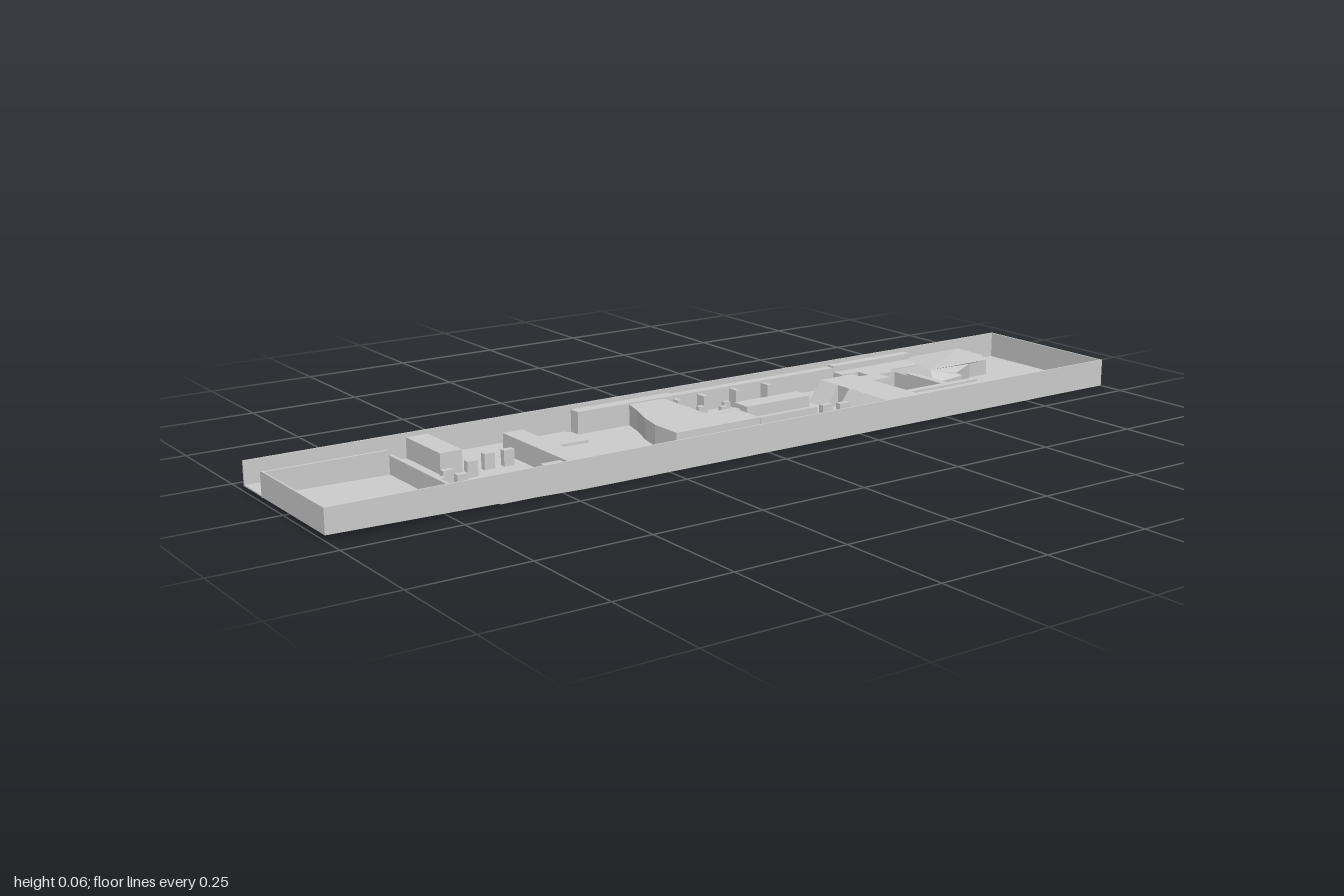
import * as THREE from 'three';

export function createModel() {
  const model = new THREE.Group();
  const mat = new THREE.MeshStandardMaterial({ color: 0xcccccc, flatShading: true, side: THREE.DoubleSide });
  const add = (name, geo) => {
    const mesh = new THREE.Mesh(geo, mat);
    mesh.name = name;
    model.add(mesh);
    return mesh;
  };
  // box given by its extents
  const box = (name, x0, x1, z0, z1, y0, y1) => {
    const g = new THREE.BoxGeometry(x1 - x0, y1 - y0, z1 - z0);
    return add(name, g.translate((x0 + x1) / 2, (y0 + y1) / 2, (z0 + z1) / 2));
  };
  // upright prism over an outline of [x, z] points
  const prism = (name, pts, y0, y1) => {
    const shape = new THREE.Shape(pts.map(([x, z]) => new THREE.Vector2(x, -z)));
    const g = new THREE.ExtrudeGeometry(shape, { depth: y1 - y0, bevelEnabled: false });
    return add(name, g.rotateX(-Math.PI / 2).translate(0, y0, 0));
  };
  // prism across x over a side profile of [z, y] points
  const profile = (name, pts, x0, x1) => {
    const shape = new THREE.Shape(pts.map(([z, y]) => new THREE.Vector2(-z, y)));
    const g = new THREE.ExtrudeGeometry(shape, { depth: x1 - x0, bevelEnabled: false });
    return add(name, g.rotateY(Math.PI / 2).translate(x0, 0, 0));
  };
  const W = 0.188, H = 0.063, T = 0.004, TOP = 0.05;

  // floor in three levels, the front one gently rising
  prism('rearFloor', [[-W, -1], [W, -1], [W, 0.45], [-0.118, 0.45], [-0.118, 0.27], [-W, 0.27]], 0, 0.003);
  prism('middleFloor', [[-W, 0.27], [-0.118, 0.27], [-0.118, 0.45], [W, 0.45], [W, 0.64], [-W, 0.64]], 0.003, 0.006);
  profile('frontFloor', [[0.63, 0.005], [1, 0.011], [1, 0.014], [0.63, 0.009]], -W, W);

  // outer walls
  const side = [[-1, 0], [0.45, 0], [0.64, 0.005], [1, 0.011], [1, H], [-1, H]];
  profile('leftWall', side, W - T, W);
  profile('rightWall', side, -W, -W + T);
  box('backWall', -W, W, -1, -1 + T, 0, H);
  box('frontWall', -0.097, W, 1 - T, 1, 0.011, H);

  // front chamber and entrance
  box('chamberSideWall', -0.1, -0.094, 0.73, 1, 0.01, H - 0.002);
  box('chamberBackWall', -0.1, W - T, 0.724, 0.732, 0.006, TOP);
  box('entranceBlock', -0.122, -0.097, 0.73, 0.8, 0.006, TOP);

  // front hall
  box('rightBlock', -W, -0.036, 0.6, 0.65, 0.003, 0.054);
  box('crossWall', -0.11, W - T, 0.418, 0.465, 0, TOP);
  box('crossWallSpur', 0.117, W - T, 0.46, 0.51, 0.003, 0.045);
  box('hallLedge', -0.12, -0.088, 0.27, 0.42, 0, 0.009);
  for (const [x, z] of [[-0.03, 0.5], [-0.03, 0.545], [0.03, 0.67], [0.07, 0.66], [0.07, 0.71], [0.0, 0.6]])
    box('hallPost', x - 0.007, x + 0.007, z - 0.012, z + 0.012, 0.003, 0.04);

  // middle platform with curved front edge and a ledge along the right wall
  prism('middlePlatform', [[-0.165, 0.03], [0.02, 0.03], [0.02, -0.045], [0.1, -0.045], [0.1, 0.172],
    [0.02, 0.172], [-0.035, 0.16], [-0.1, 0.137], [-0.165, 0.12]], 0, TOP);
  box('rightLedge', -W, -0.155, 0, 0.255, 0, TOP + 0.003);
  box('rightLedgeRear', -W, -0.162, -0.46, 0, 0, TOP);

  // pits with their divider, bank and posts
  box('pitDivider', -0.035, 0.012, -0.25, -0.075, 0, TOP);
  box('pitDividerFoot', -0.03, -0.012, -0.08, 0.03, 0, 0.04);
  box('pitBank', 0.09, 0.102, -0.2, -0.045, 0, TOP);
  for (const z of [-0.25, -0.16, -0.07, 0])
    box('rightPitPost', -0.165, -0.135, z - 0.006, z + 0.006, 0, 0.045);
  for (const [x, z] of [[-0.1, -0.1], [-0.1, -0.03], [-0.07, -0.07]])
    box('pitPost', x - 0.006, x + 0.006, z - 0.008, z + 0.008, 0, 0.035);
  for (const [x, z] of [[0.08, -0.29], [0.15, -0.31], [0.07, -0.25], [0.155, -0.26]])
    box('leftPitPost', x - 0.007, x + 0.007, z - 0.014, z + 0.014, 0, 0.042);

  // long block with steep ramps on its front side
  box('longBlock', -0.088, W - T, -0.458, -0.362, 0, TOP);
  const ramp = [[-0.362, 0], [-0.326, 0], [-0.362, TOP]];
  profile('rightRamp', ramp, -0.088, -0.024);
  profile('leftRamp', ramp, 0.015, W - T);

  // rear walls and ledges
  box('rearStub', -0.02, 0.117, -0.583, -0.565, 0, TOP);
  box('rearStubReturn', -0.062, -0.015, -0.51, -0.458, 0, TOP);
  box('rearConnector', 0.1, 0.118, -0.66, -0.458, 0, TOP);
  box('rearRightLedge', -W, -0.162, -0.7, -0.46, 0, TOP + 0.004);
  prism('rearRightPlatform', [[-W, -0.7], [-0.105, -0.7], [-0.105, -0.585], [-0.085, -0.585],
    [-0.085, -0.51], [-0.13, -0.51], [-0.13, -0.46], [-W, -0.46]], 0, 0.04);
  prism('rearLeftPlatform', [[W - T, -0.95], [0.138, -0.95], [0.138, -0.85], [0.092, -0.85],
    [0.092, -0.655], [0.118, -0.655], [0.118, -0.458], [W - T, -0.458]], 0, 0.045);

  // mound whose top fans out from one high point
  const rim = [[-W + T, -0.7], [-W + T, -0.88], [-0.1, -0.88], [-0.05, -0.85], [-0.045, -0.79],
    [0.005, -0.7], [0.035, -0.69], [0.052, -0.585], [-0.1, -0.585], [-0.105, -0.7]];
  prism('moundBase', rim, 0, 0.038);
  const apex = [0.018, 0.06, -0.605], fan = [];
  rim.forEach(([x, z], i) => {
    const [x2, z2] = rim[(i + 1) % rim.length];
    fan.push(x, 0.038, z, ...apex, x2, 0.038, z2);
  });
  const fanGeo = new THREE.BufferGeometry();
  fanGeo.setAttribute('position', new THREE.Float32BufferAttribute(fan, 3));
  fanGeo.computeVertexNormals();
  // wind every face upward
  const p = fanGeo.attributes.position, n = fanGeo.attributes.normal, index = [];
  for (let i = 0; i < p.count; i += 3) index.push(...(n.getY(i) > 0 ? [i, i + 1, i + 2] : [i, i + 2, i + 1]));
  fanGeo.setIndex(index);
  fanGeo.computeVertexNormals();
  add('moundTop', fanGeo);

  return model;
}
